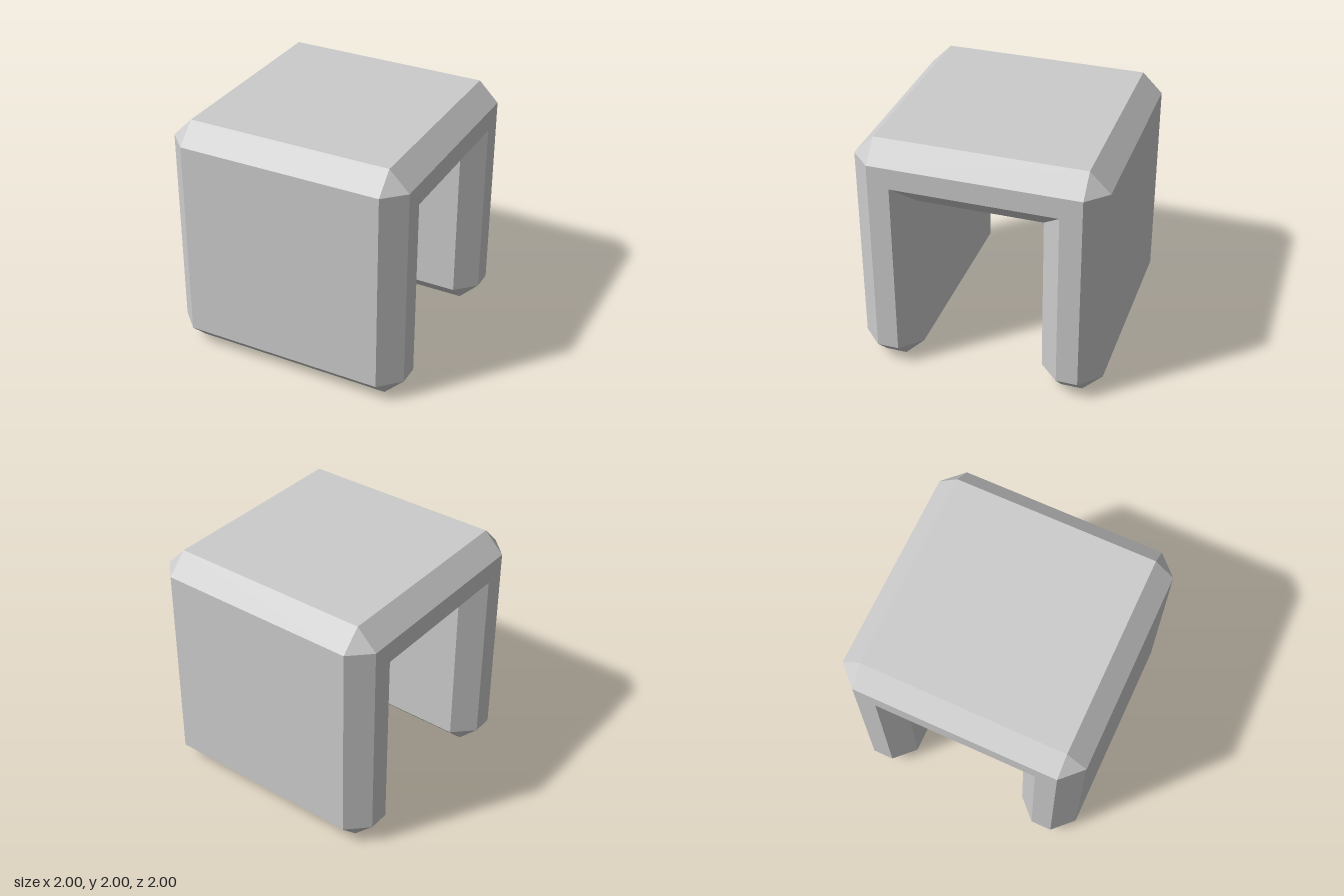
import * as THREE from 'three';

const C = 0.163; // chamfer width

// Corners of the arch profile, counter-clockwise seen from +x (u = -z, y up):
// each has its position on the end face, then the point(s) it widens to on the body.
function archCorners() {
  const o = 1 - C, i = 0.5 + C, top = 2 - C;
  return [
    { end: [-o, C], body: [[-1, C], [-o, 0]] },
    { end: [-i, C], body: [[-i, 0], [-0.5, C]] },
    { end: [-i, 1.5 + C], body: [[-0.5, 1.5]] }, // inner corners stay sharp
    { end: [i, 1.5 + C], body: [[0.5, 1.5]] },
    { end: [i, C], body: [[0.5, C], [i, 0]] },
    { end: [o, C], body: [[o, 0], [1, C]] },
    { end: [o, top], body: [[1, top], [o, 2]] },
    { end: [-o, top], body: [[-o, 2], [-1, top]] },
  ];
}

function chamferedArch() {
  const corners = archCorners();
  const at = (x, [u, y]) => new THREE.Vector3(x, y, -u);
  const endRing = x => corners.flatMap(c => c.body.map(() => at(x, c.end)));
  const bodyRing = x => corners.flatMap(c => c.body.map(p => at(x, p)));
  const rings = [endRing(-1), bodyRing(-1 + C), bodyRing(1 - C), endRing(1)];

  const positions = [];
  const face = (a, b, c) => {
    if (a.equals(b) || b.equals(c) || c.equals(a)) return; // corner facets are single triangles
    for (const p of [a, b, c]) positions.push(p.x, p.y, p.z);
  };

  // Chamfers and long faces between neighbouring rings
  for (let r = 0; r < rings.length - 1; r++) {
    const a = rings[r], b = rings[r + 1];
    for (let k = 0; k < a.length; k++) {
      const n = (k + 1) % a.length;
      face(a[k], a[n], b[n]);
      face(a[k], b[n], b[k]);
    }
  }

  // Flat arch-shaped end faces
  const outline = corners.map(c => new THREE.Vector2(...c.end));
  for (const [i, j, k] of THREE.ShapeUtils.triangulateShape(outline, [])) {
    const e = [i, j, k].map(n => corners[n].end);
    face(at(1, e[0]), at(1, e[1]), at(1, e[2]));
    face(at(-1, e[2]), at(-1, e[1]), at(-1, e[0]));
  }

  const geometry = new THREE.BufferGeometry();
  geometry.setAttribute('position', new THREE.Float32BufferAttribute(positions, 3));
  geometry.computeVertexNormals();
  return geometry;
}

export function createModel() {
  const group = new THREE.Group();
  group.name = 'archBlock';
  const material = new THREE.MeshStandardMaterial({ color: 0xcccccc, flatShading: true });
  const arch = new THREE.Mesh(chamferedArch(), material);
  arch.name = 'chamferedArch';
  group.add(arch);
  return group;
}
